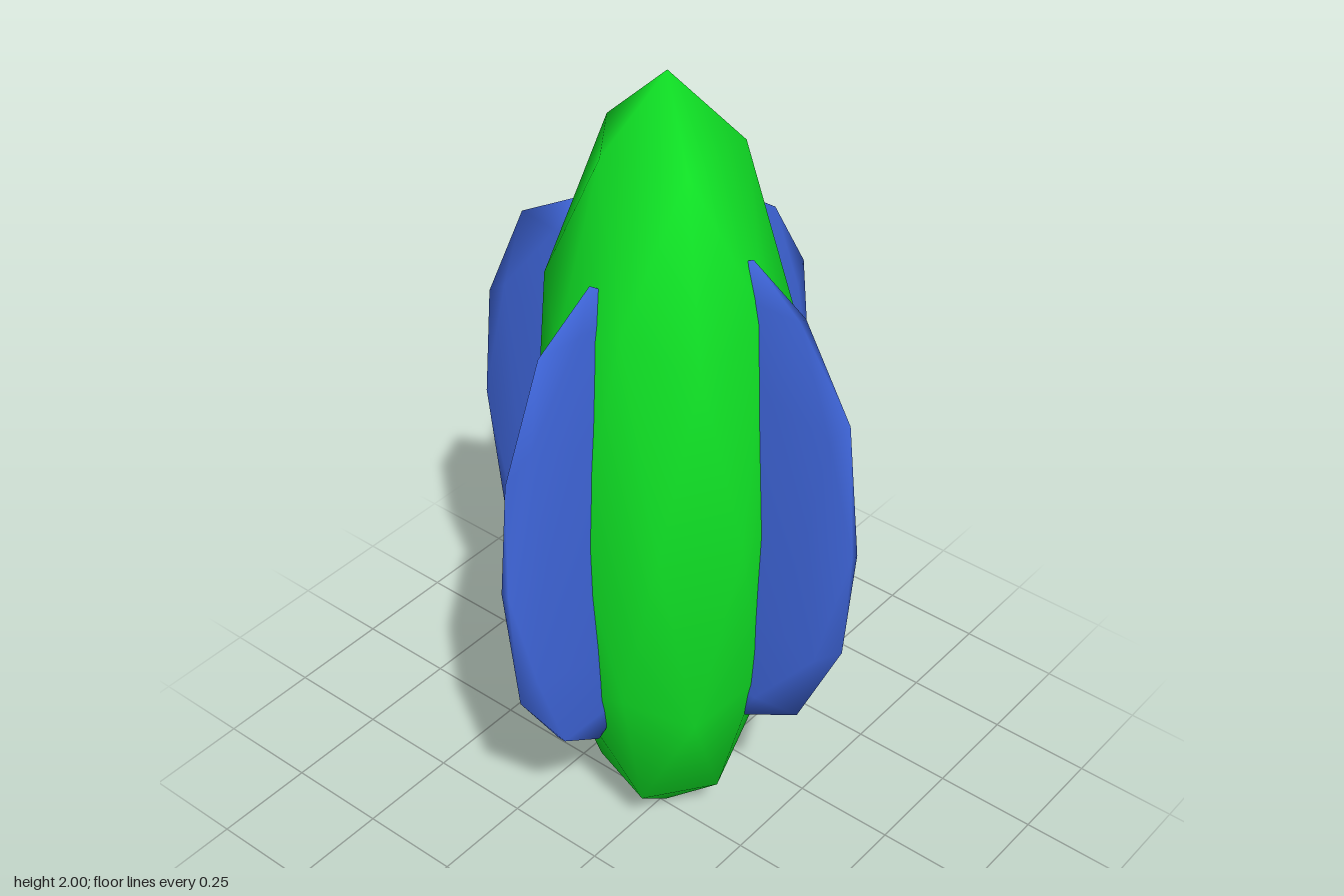
import * as THREE from 'three';

export function createModel() {
  const model = new THREE.Group();
  model.name = 'finnedPod';

  const green = new THREE.MeshStandardMaterial({ color: 0x10e526 });
  green.name = 'bright green';
  const blue = new THREE.MeshStandardMaterial({ color: 0x4169e1 });
  blue.name = 'royal blue';

  // Low-poly smooth ball, turned so one corner points straight up
  const ball = new THREE.IcosahedronGeometry(1, 1);
  ball.rotateZ(Math.atan(2 / (1 + Math.sqrt(5))));

  function addPart(name, material, scale, position, turn = 0) {
    const mesh = new THREE.Mesh(ball, material);
    mesh.name = name;
    mesh.scale.set(...scale);
    mesh.position.set(...position);
    mesh.rotation.y = turn;
    model.add(mesh);
  }

  // Long pointed body
  addPart('body', green, [0.3, 1, 0.3], [0.011, 1, -0.008]);

  // Four thin fins, half sunk into the body
  const fin = [0.3, 0.618, 0.03];
  addPart('leftFin', blue, fin, [0.233, 1.035, -0.008]);
  addPart('rightFin', blue, fin, [-0.235, 1.003, -0.008]);
  addPart('frontFin', blue, fin, [0.011, 1.003, 0.235], Math.PI / 2);
  addPart('backFin', blue, fin, [0.011, 1.003, -0.24], Math.PI / 2);

  return model;
}
